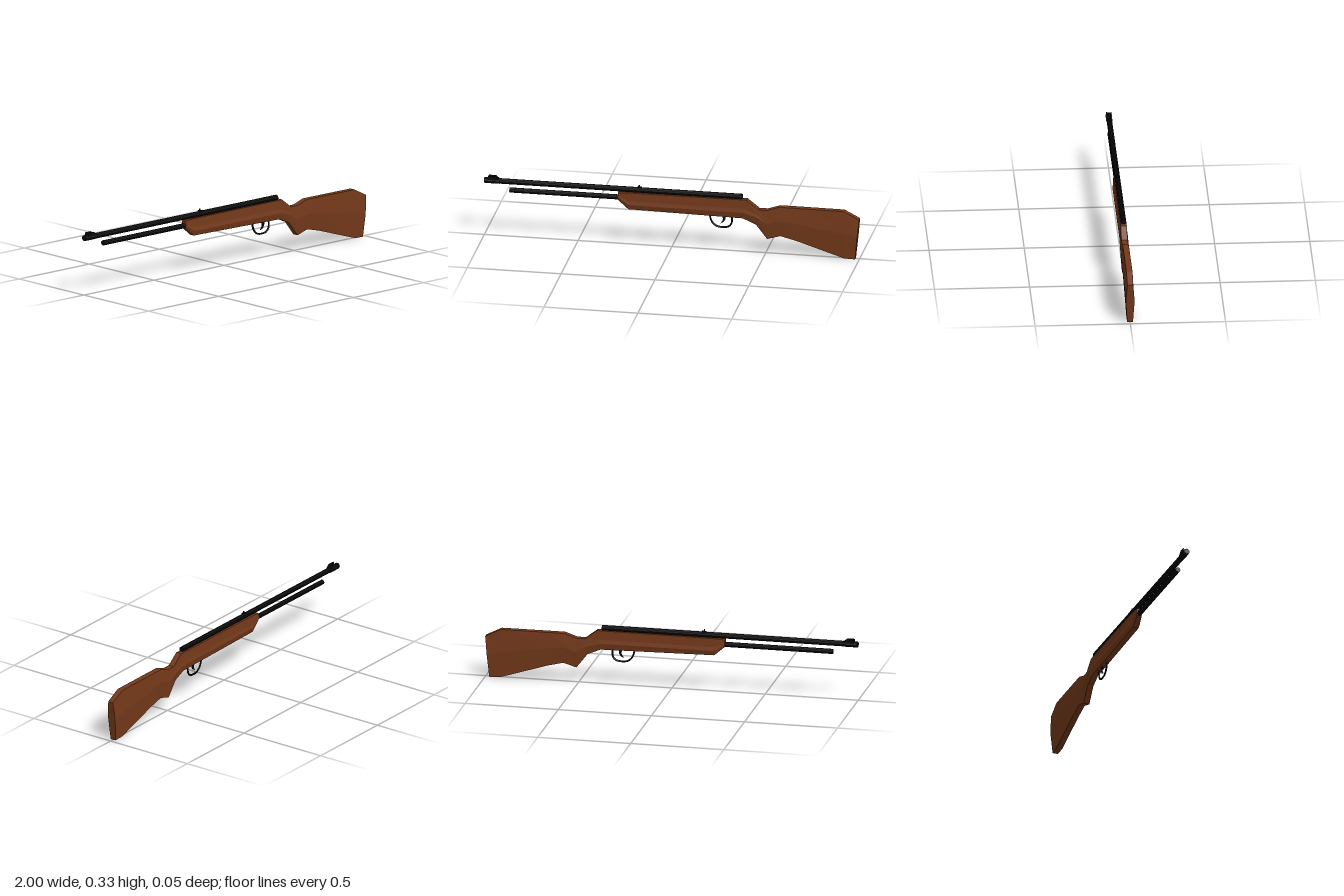
import * as THREE from 'three';

const wood = new THREE.MeshStandardMaterial({ color: 0x74391a, flatShading: true });
const metal = new THREE.MeshStandardMaterial({ color: 0x0b0b0c, flatShading: true });

function add(group, name, geometry, material, x = 0, y = 0, z = 0) {
  const mesh = new THREE.Mesh(geometry, material);
  mesh.name = name;
  mesh.position.set(x, y, z);
  group.add(mesh);
  return mesh;
}

// Eight-cornered cross-sections joined along x
function stockGeometry() {
  // top x, top y, bottom x, bottom y, end half width, widest half width, shoulder half width, height of widest point
  const sections = [
    [-0.286, 0.286, -0.286, 0.248, 0.013, 0.016, 0.015, 0.4],
    [-0.23, 0.291, -0.23, 0.2, 0.016, 0.023, 0.0185, 0.28],
    [0.4, 0.293, 0.38, 0.19, 0.016, 0.023, 0.0185, 0.32],
    [0.465, 0.243, 0.45, 0.16, 0.016, 0.023, 0.02, 0.5],
    [0.51, 0.243, 0.51, 0.083, 0.016, 0.023, 0.021, 0.53],
    [0.575, 0.265, 0.58, 0.104, 0.016, 0.023, 0.021, 0.53],
    [0.665, 0.265, 0.665, 0.083, 0.016, 0.023, 0.021, 0.53],
    [0.917, 0.264, 0.92, 0.002, 0.016, 0.023, 0.021, 0.53],
    [1.0, 0.222, 0.978, 0, 0.015, 0.023, 0.021, 0.55],
  ];
  const pos = [], idx = [], n = 8;
  for (const [xt, yt, xb, yb, end, wide, shoulder, f] of sections) {
    const s = f + 0.3 * (1 - f);
    const ring = [[1, -end], [1, end], [s, shoulder], [f, wide], [0, end], [0, -end], [f, -wide], [s, -shoulder]];
    for (const [t, z] of ring) pos.push(xb + (xt - xb) * t, yb + (yt - yb) * t, z);
  }
  const last = (sections.length - 1) * n;
  for (let i = 0; i < last; i += n) {
    for (let k = 0; k < n; k++) {
      const a = i + k, b = i + (k + 1) % n;
      idx.push(a, b, b + n, a, b + n, a + n);
    }
  }
  for (let k = 1; k < n - 1; k++) {
    idx.push(0, k + 1, k, last, last + k, last + k + 1);
  }
  const g = new THREE.BufferGeometry();
  g.setAttribute('position', new THREE.Float32BufferAttribute(pos, 3));
  g.setIndex(idx);
  g.computeVertexNormals();
  return g;
}

// Cylinder lying along x between two ends
function rod(x0, x1, radius, sides = 10) {
  return new THREE.CylinderGeometry(radius, radius, x1 - x0, sides)
    .rotateZ(Math.PI / 2).translate((x0 + x1) / 2, 0, 0);
}

// Side outline extruded to a thickness centred on z = 0
function plate(points, depth) {
  const shape = new THREE.Shape(points.map(([x, y]) => new THREE.Vector2(x, y)));
  return new THREE.ExtrudeGeometry(shape, { depth, bevelEnabled: false }).translate(0, 0, -depth / 2);
}

function bentRod(points, radius) {
  const curve = new THREE.CatmullRomCurve3(points.map(([x, y]) => new THREE.Vector3(x, y, 0)));
  return new THREE.TubeGeometry(curve, 24, radius, 6);
}

export function createModel() {
  const model = new THREE.Group();
  model.name = 'longGun';

  add(model, 'stock', stockGeometry(), wood);
  add(model, 'barrel', rod(-1, 0.375, 0.0145), metal, 0, 0.306);
  add(model, 'lowerTube', rod(-0.865, -0.27, 0.0135), metal, 0, 0.259);

  // Front sight: collar, two protective ears and a centre blade
  const frontSight = new THREE.Group();
  frontSight.name = 'frontSight';
  model.add(frontSight);
  add(frontSight, 'collar', rod(-0.995, -0.92, 0.0165, 8), metal, 0, 0.306);
  const ear = [[-0.983, 0.308], [-0.915, 0.308], [-0.922, 0.318], [-0.94, 0.332], [-0.978, 0.332]];
  for (const side of [-1, 1]) {
    add(frontSight, 'ear', plate(ear, 0.005), metal, 0, 0, side * 0.0115);
  }
  add(frontSight, 'blade', plate([[-0.97, 0.31], [-0.935, 0.31], [-0.945, 0.331], [-0.962, 0.331]], 0.003), metal);

  // Rear sight: low base and thin post
  const rearSight = new THREE.Group();
  rearSight.name = 'rearSight';
  model.add(rearSight);
  add(rearSight, 'base', new THREE.BoxGeometry(0.022, 0.006, 0.014), metal, -0.172, 0.321);
  add(rearSight, 'post', new THREE.BoxGeometry(0.006, 0.018, 0.004), metal, -0.174, 0.325);

  // Trigger and its guard
  add(model, 'triggerGuard', bentRod([
    [0.203, 0.202], [0.204, 0.178], [0.218, 0.148], [0.24, 0.132], [0.27, 0.128],
    [0.302, 0.134], [0.317, 0.152], [0.32, 0.175], [0.316, 0.2],
  ], 0.005), metal);
  add(model, 'trigger', plate([
    [0.264, 0.2], [0.286, 0.2], [0.284, 0.172], [0.275, 0.157], [0.259, 0.149], [0.27, 0.163], [0.272, 0.178],
  ], 0.007), metal);

  return model;
}
